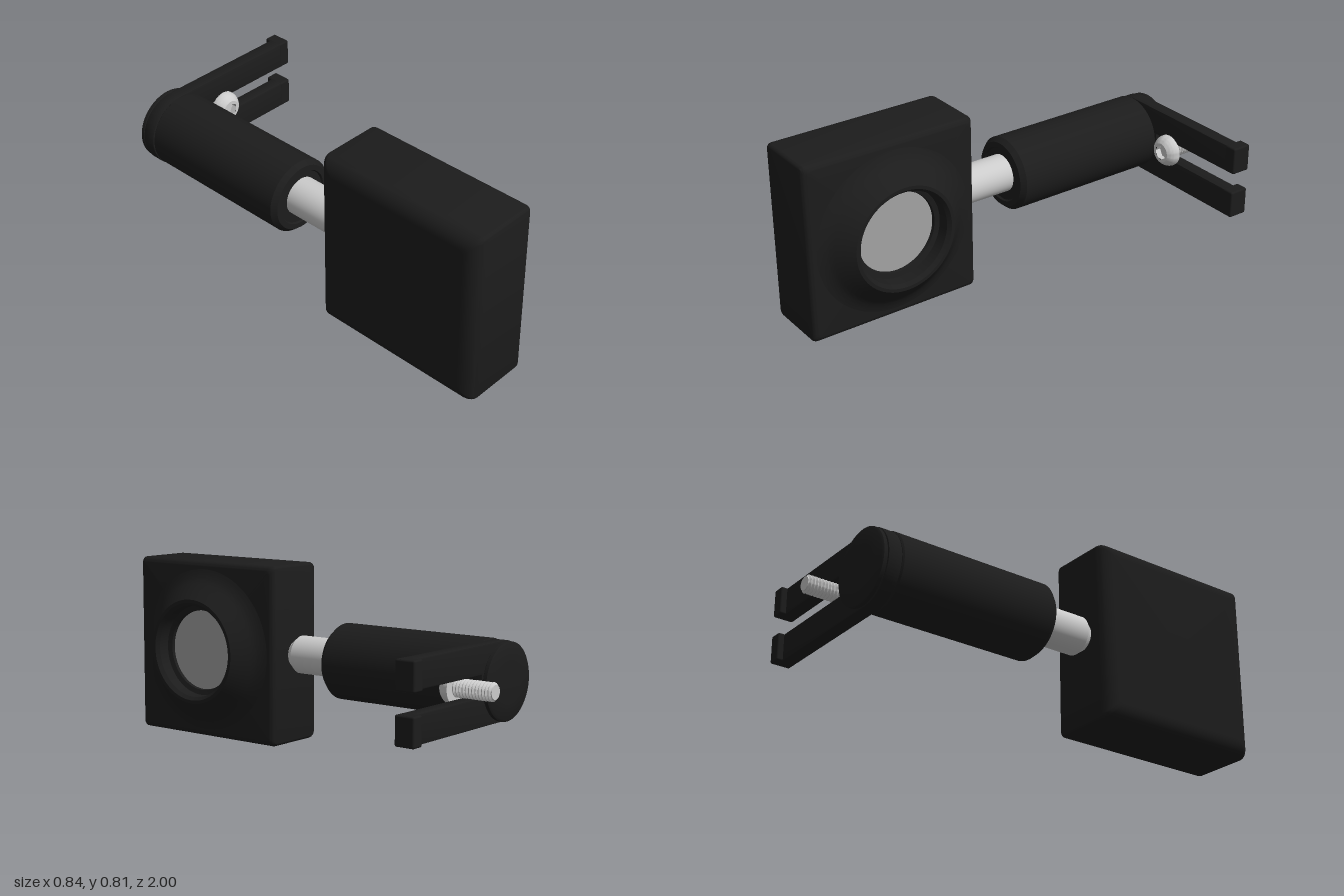
import * as THREE from 'three';
import { toCreasedNormals } from 'three/addons/utils/BufferGeometryUtils.js';
import { RoundedBoxGeometry } from 'three/addons/geometries/RoundedBoxGeometry.js';

const black = new THREE.MeshStandardMaterial({ color: 0x1c1c1c });
const grey = new THREE.MeshStandardMaterial({ color: 0xcccccc });
const glass = new THREE.MeshStandardMaterial({ color: 0xa4a4a4 });

// Turned part: profile of [radius, height] pairs, height running along +y
function turned(profile, segments = 64, crease = 0.6) {
  const points = profile.map(([r, h]) => new THREE.Vector2(r, h));
  return toCreasedNormals(new THREE.LatheGeometry(points, segments), crease);
}
const alongX = (g) => g.rotateZ(-Math.PI / 2);
const alongZ = (g) => g.rotateX(Math.PI / 2);

// Rounded-rectangle rings lofted along x; each section is [x, inset]
function loftedBox(half, corner, sections) {
  const steps = 6, pos = [], index = [];
  const n = 4 * (steps + 1);
  for (const [x, inset] of sections) {
    const c = half - inset - corner;
    for (let q = 0; q < 4; q++) {
      const mid = (q + 0.5) * Math.PI / 2;
      const cz = c * Math.sign(Math.cos(mid)), cy = c * Math.sign(Math.sin(mid));
      for (let s = 0; s <= steps; s++) {
        const a = (q + s / steps) * Math.PI / 2;
        pos.push(x, cy + corner * Math.sin(a), cz + corner * Math.cos(a));
      }
    }
  }
  const last = sections.length - 1;
  for (let i = 0; i < last; i++) {
    for (let j = 0; j < n; j++) {
      const k = (j + 1) % n, a = i * n, b = a + n;
      index.push(a + j, b + j, a + k, a + k, b + j, b + k);
    }
  }
  const back = pos.length / 3, front = back + 1;
  pos.push(sections[0][0], 0, 0, sections[last][0], 0, 0);
  for (let j = 0; j < n; j++) {
    const k = (j + 1) % n;
    index.push(back, j, k, front, last * n + k, last * n + j);
  }
  const g = new THREE.BufferGeometry();
  g.setAttribute('position', new THREE.Float32BufferAttribute(pos, 3));
  g.setIndex(index);
  return toCreasedNormals(g, 0.6);
}

export function createModel() {
  const model = new THREE.Group();
  model.name = 'cameraOnClampMount';
  const add = (name, geometry, material, x = 0, y = 0, z = 0, parent = model) => {
    const mesh = new THREE.Mesh(geometry, material);
    mesh.name = name;
    mesh.position.set(x, y, z);
    parent.add(mesh);
    return mesh;
  };

  // Housing: large fillet at the back edge, small one at the lens side
  const sections = [];
  const fillet = (x, r, from, to) => {
    for (let i = 0; i <= 8; i++) {
      const a = THREE.MathUtils.lerp(from, to, i / 8);
      sections.push([x + r * Math.sin(a), r - r * Math.cos(a)]);
    }
  };
  fillet(-0.422 + 0.065, 0.065, -Math.PI / 2, 0);
  fillet(-0.088 - 0.03, 0.03, 0, Math.PI / 2);
  add('housing', loftedBox(0.403, 0.02, sections), black, 0, 0.403, 0.6);

  // Flared lens collar with its recess
  const flare = new THREE.SplineCurve([
    [0.374, -0.09], [0.345, -0.081], [0.318, -0.067], [0.292, -0.045], [0.262, -0.017], [0.237, 0.006],
  ].map(([r, h]) => new THREE.Vector2(r, h))).getPoints(20).map((p) => [p.x, p.y]);
  const recess = [[0.222, 0.006], [0.208, -0.01], [0.205, -0.06], [0.183, -0.066], [0.18, -0.085]];
  add('lensCollar', alongX(turned([...flare, ...recess], 80)), black, 0, 0.403, 0.6);
  add('lens', new THREE.CircleGeometry(0.184, 64).rotateY(Math.PI / 2), glass, -0.08, 0.403, 0.6);

  // Rod joining housing and sleeve
  add('rod', alongZ(turned([[0, -0.4], [0.085, -0.4], [0.085, 0.165], [0.062, 0.195], [0.062, 0.25], [0, 0.25]], 48)),
    grey, -0.255, 0.403, 0);

  // Sleeve with chamfered ends
  add('sleeve', alongZ(turned([
    [0, -0.815], [0.161, -0.815], [0.167, -0.809], [0.167, -0.08], [0.148, -0.058], [0.125, -0.058], [0.12, -0.066], [0, -0.066],
  ])), black, -0.255, 0.397, 0);

  // Forked bracket: a round end and two prongs
  const fork = new THREE.Shape();
  fork.absarc(-0.255, 0.393, 0.167, Math.PI / 2, Math.PI * 1.5);
  for (const [x, y] of [[0.415, 0.226], [0.415, 0.348], [-0.09, 0.348], [-0.09, 0.438], [0.415, 0.438], [0.415, 0.56]]) {
    fork.lineTo(x, y);
  }
  fork.closePath();
  const bevel = 0.006;
  const forkGeometry = new THREE.ExtrudeGeometry(fork, {
    depth: 0.062 - 2 * bevel, bevelThickness: bevel, bevelSize: bevel, bevelOffset: -bevel, bevelSegments: 2, curveSegments: 40,
  });
  add('forkBracket', toCreasedNormals(forkGeometry, 0.5), black, 0, 0, -0.88 + bevel);

  // Hooked prong tips
  for (const y of [0.287, 0.499]) {
    add('prongHook', new RoundedBoxGeometry(0.058, 0.123, 0.09, 3, 0.008), black, 0.391, y, -0.862);
  }

  // End cap behind the bracket, slightly crowned
  add('endCap', alongZ(turned([
    [0, -0.912], [0.085, -0.909], [0.155, -0.905], [0.164, -0.899], [0.164, -0.884], [0.157, -0.878], [0, -0.878],
  ])), black, -0.255, 0.393, 0);

  // Clamp screw: domed head, hex socket and threaded shank
  const screw = new THREE.Group();
  screw.name = 'clampScrew';
  screw.position.set(0, 0.395, 0);
  model.add(screw);
  const dome = [[0, -0.82], [0.072, -0.82]];
  for (let i = 0; i <= 8; i++) {
    const a = (i / 8) * 0.9;
    dome.push([0.072 * Math.cos(a), -0.81 + 0.046 * Math.sin(a) / Math.sin(0.9) - 0.003]);
  }
  add('screwHead', alongZ(turned(dome, 48)), grey, 0, 0, 0, screw);
  const face = new THREE.Shape();
  face.absarc(0, 0, 0.0448, 0, Math.PI * 2);
  const hex = new THREE.Path();
  for (let i = 0; i < 6; i++) {
    const a = (i * Math.PI) / 3 + Math.PI / 6;
    hex[i ? 'lineTo' : 'moveTo'](0.034 * Math.cos(a), 0.034 * Math.sin(a));
  }
  hex.closePath();
  face.holes.push(hex);
  add('screwFace', new THREE.ShapeGeometry(face, 24), grey, 0, 0, -0.767, screw);
  const socket = alongZ(turned([[0.034, -0.767], [0.034, -0.795], [0, -0.795]], 6, 0.3)).rotateZ(Math.PI / 6);
  add('hexSocket', socket, grey, 0, 0, 0, screw);

  const thread = [[0, -1], [0.03, -1]];
  const turns = 12, pitch = 0.178 / turns;
  for (let i = 0; i < turns; i++) {
    const z = -0.996 + i * pitch;
    thread.push([0.031, z], [0.039, z + pitch * 0.4], [0.039, z + pitch * 0.6]);
  }
  thread.push([0.031, -0.818]);
  add('screwThread', alongZ(turned(thread, 32)), grey, 0, 0, 0, screw);

  return model;
}
